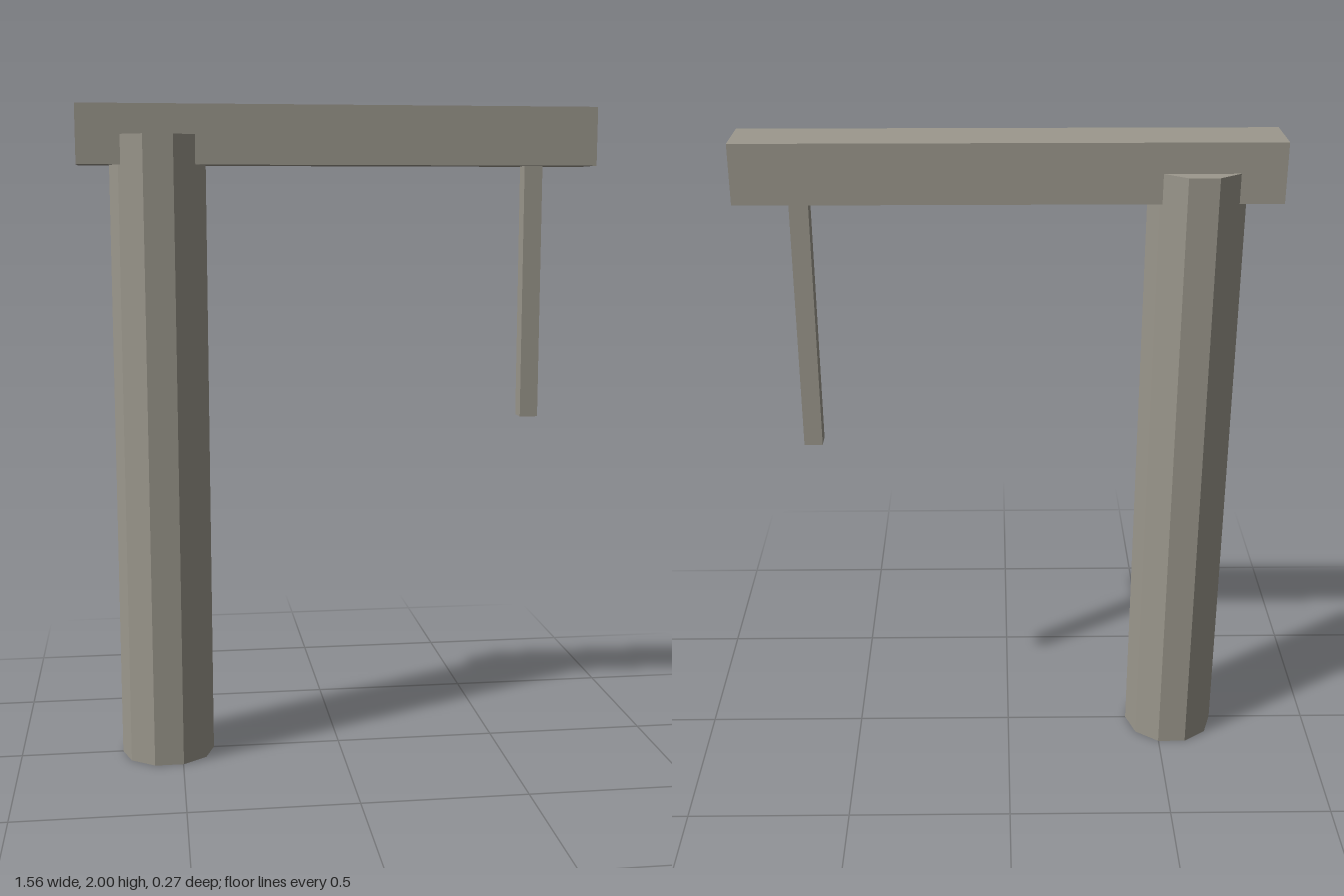
import * as THREE from 'three';

export function createModel() {
  const group = new THREE.Group();
  const stone = new THREE.MeshStandardMaterial({ color: 0x9c988d, flatShading: true });
  stone.name = 'warm grey';

  const add = (name, geometry, x, y, z = 0) => {
    const mesh = new THREE.Mesh(geometry, stone);
    mesh.name = name;
    mesh.position.set(x, y, z);
    group.add(mesh);
  };

  // Ten-sided post with flat sides to the front and back, rising halfway into the beam
  const postHeight = 1.912;
  add('post', new THREE.CylinderGeometry(0.143, 0.143, postHeight, 10, 1, false, Math.PI / 2),
    -0.543, postHeight / 2);

  // Horizontal beam across the top
  add('beam', new THREE.BoxGeometry(1.56, 0.175, 0.178), 0, 1.9125);

  // Thin square rod hanging under the free end
  add('hangingRod', new THREE.BoxGeometry(0.056, 0.775, 0.056), 0.6, 1.4375);

  return group;
}
